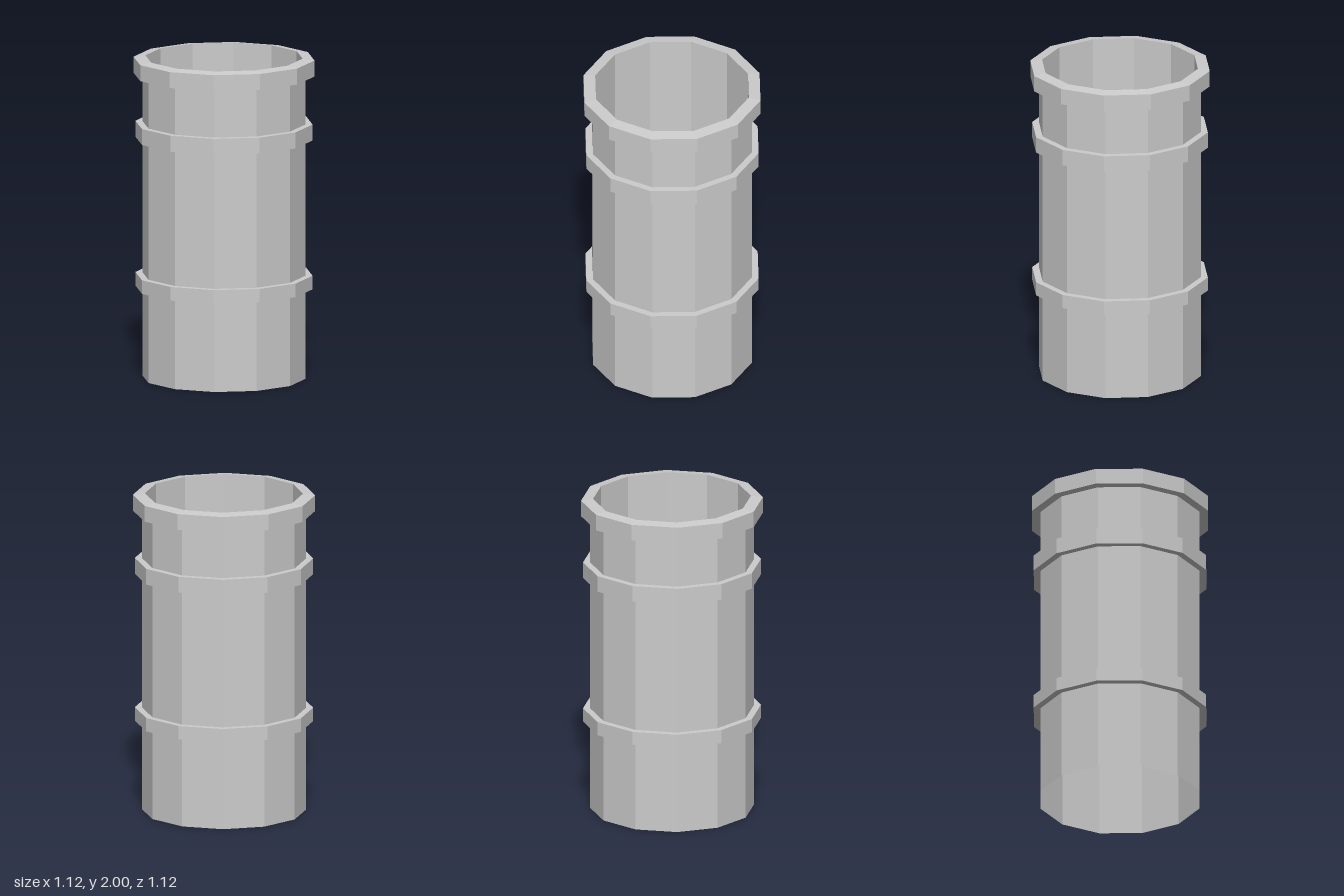
import * as THREE from 'three';

const SIDES = 12;

export function createModel() {
  const group = new THREE.Group();
  const material = new THREE.MeshStandardMaterial({
    color: 0xcccccc, flatShading: true, side: THREE.DoubleSide,
  });

  // Turns a profile of [radius, height] pairs into a faceted part
  const turn = (name, profile) => {
    const points = profile.map(([r, y]) => new THREE.Vector2(r, y));
    const mesh = new THREE.Mesh(new THREE.LatheGeometry(points, SIDES), material);
    mesh.name = name;
    group.add(mesh);
  };

  // Outer wall, open at the bottom
  turn('body', [[0.505, 0], [0.505, 1.89]]);

  // Thick lip with a slightly sloped top, running down into the inner wall
  turn('lip', [[0.505, 1.89], [0.56, 1.89], [0.56, 1.99], [0.486, 2]]);
  turn('innerWall', [[0.486, 2], [0.486, 0.56]]);

  // Raised bands around the wall
  for (const [name, bottom, top] of [['lowerBand', 0.56, 0.645], ['upperBand', 1.49, 1.59]]) {
    turn(name, [[0.505, bottom], [0.548, bottom], [0.548, top], [0.505, top]]);
  }

  // Floor inside the tube
  const floor = new THREE.Mesh(new THREE.CircleGeometry(0.505, SIDES), material);
  floor.name = 'floor';
  floor.rotation.x = -Math.PI / 2;
  floor.position.y = 0.56;
  group.add(floor);

  return group;
}
